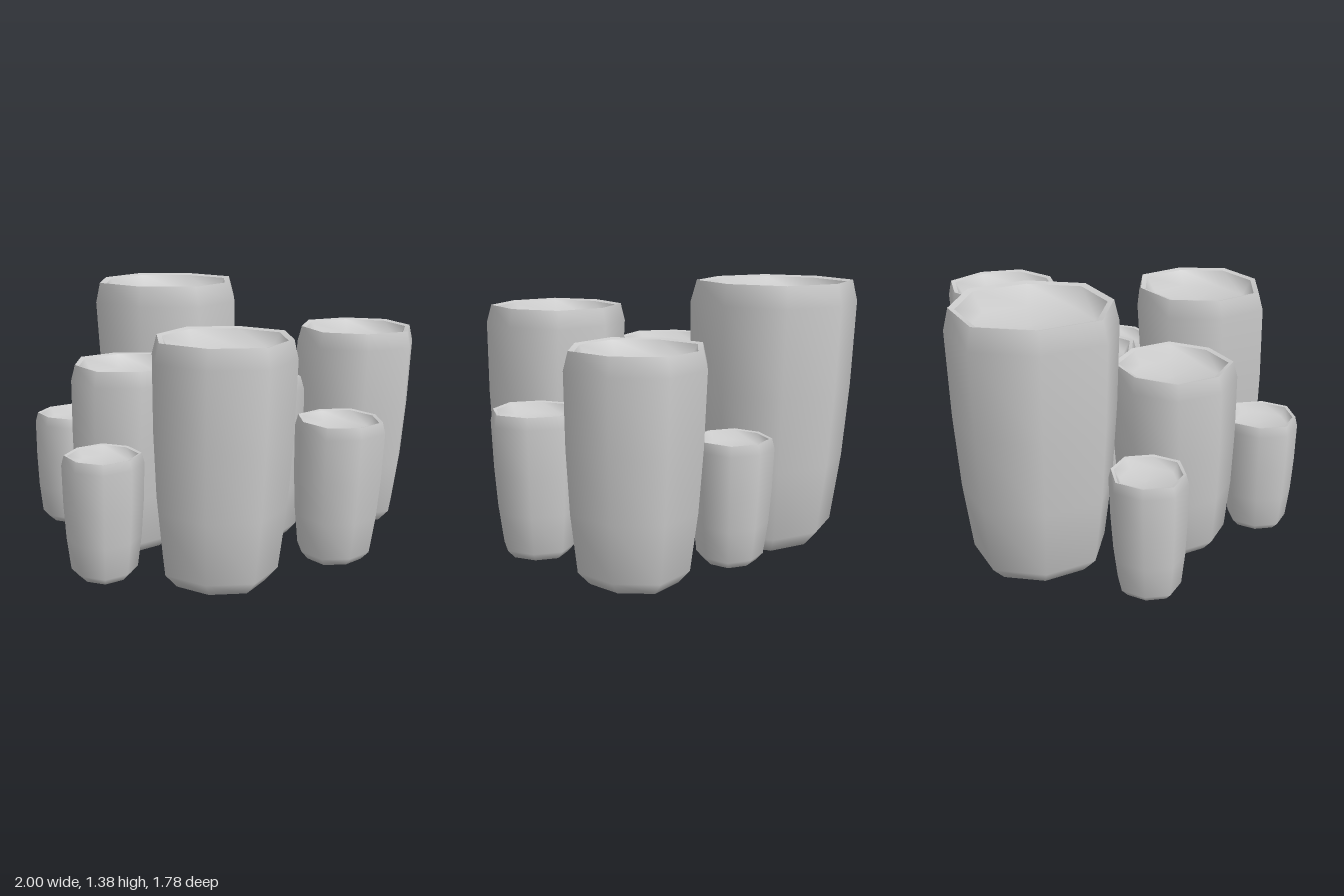
import * as THREE from 'three';

const material = new THREE.MeshStandardMaterial({ color: 0xcccccc });

// x, z: centre of the mouth; r: radius at the wider corners; turn: their angle in degrees;
// dx, dz: offset of the foot
const TUBES = [
  { name: 'largeBackTube', x: -0.422, z: -0.483, r: 0.437, base: 0, top: 1.375, turn: 45, dx: 0.045, dz: 0 },
  { name: 'smallBackTube', x: 0.147, z: -0.68, r: 0.2, base: 0.045, top: 0.665, turn: 53, dx: 0, dz: 0.01 },
  { name: 'rightBackTube', x: 0.68, z: -0.565, r: 0.345, base: 0.065, top: 1.15, turn: 22, dx: -0.015, dz: 0.035 },
  { name: 'centreTube', x: 0.2, z: -0.138, r: 0.284, base: 0.045, top: 0.92, turn: -13, dx: 0.035, dz: 0.03 },
  { name: 'largeFrontTube', x: 0.25, z: 0.482, r: 0.375, base: 0.04, top: 1.23, turn: 39, dx: -0.005, dz: 0.05 },
  { name: 'smallLeftTube', x: -0.82, z: -0.003, r: 0.2, base: 0.045, top: 0.665, turn: -26, dx: -0.015, dz: 0.01 },
  { name: 'leftTube', x: -0.367, z: 0.208, r: 0.318, base: 0.04, top: 1.02, turn: 8, dx: -0.02, dz: 0.025 },
  { name: 'smallFrontTube', x: -0.29, z: 0.703, r: 0.2, base: 0.045, top: 0.665, turn: -26, dx: -0.005, dz: 0.005 },
  { name: 'smallRightTube', x: 0.735, z: 0.09, r: 0.234, base: 0.045, top: 0.78, turn: 4, dx: -0.015, dz: 0.005 },
];

// Eight-sided tapering tube with a bevelled lip and a shallow hollow on top
function makeTube({ name, x, z, r, base, top, turn, dx, dz }) {
  const h = top - base;
  const p = (radius, y) => new THREE.Vector2(radius * r, y);
  // Repeated points keep the lip sharp
  const profile = [
    p(0, 0), p(0.65, 0), p(0.82, h * 0.06), p(0.92, h * 0.32), p(0.975, h * 0.6), p(1, h - 0.25 * r),
    p(0.935, h), p(0.935, h), p(0.86, h - 0.02 * r), p(0.86, h - 0.02 * r),
    p(0.73, h - 0.24 * r), p(0, h - 0.26 * r),
  ];
  const geometry = new THREE.LatheGeometry(profile, 8, THREE.MathUtils.degToRad(-turn));

  // Pull in every second corner, and slide the lower part towards the foot
  const pos = geometry.attributes.position;
  for (let i = 0; i < pos.count; i++) {
    const corner = Math.floor(i / profile.length);
    const s = corner % 2 ? 0.945 : 1;
    const k = 1 - pos.getY(i) / h;
    pos.setXYZ(i, pos.getX(i) * s + dx * k, pos.getY(i), pos.getZ(i) * s + dz * k);
  }

  const mesh = new THREE.Mesh(geometry, material);
  mesh.name = name;
  mesh.position.set(x, base, z);
  return mesh;
}

export function createModel() {
  const group = new THREE.Group();
  group.name = 'tubeCluster';
  for (const tube of TUBES) group.add(makeTube(tube));
  return group;
}
